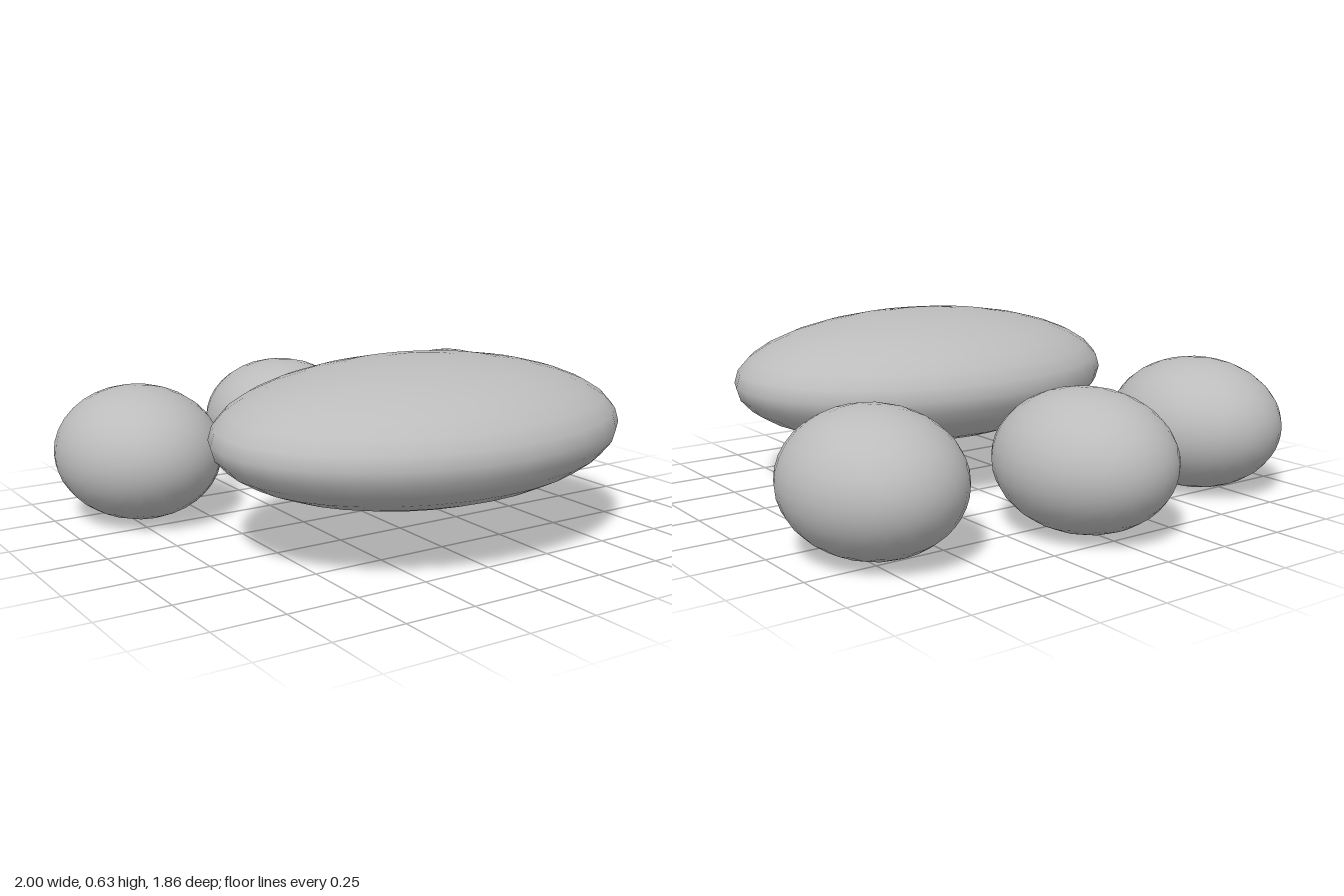
import * as THREE from 'three';

export function createModel() {
  const group = new THREE.Group();
  const grey = new THREE.MeshStandardMaterial({ color: 0xbcbcbc });
  grey.name = 'grey';

  // smooth ellipsoid; the toes have their poles along z
  function ellipsoid(name, radii, position, polesAlongZ) {
    const geometry = new THREE.SphereGeometry(1, 32, 16);
    if (polesAlongZ) geometry.rotateX(Math.PI / 2);
    geometry.scale(...radii);
    const mesh = new THREE.Mesh(geometry, grey);
    mesh.name = name;
    mesh.position.set(...position);
    group.add(mesh);
  }

  // wide flattened main pad
  ellipsoid('mainPad', [0.753, 0.24, 0.564], [0, 0.395, 0.361], false);

  // three toes fanned out behind it
  const toeRadii = [0.295, 0.242, 0.334];
  ellipsoid('middleToe', toeRadii, [0, 0.243, -0.597], true);
  for (const [name, side] of [['leftToe', 1], ['rightToe', -1]]) {
    ellipsoid(name, toeRadii, [side * 0.705, 0.243, -0.408], true);
  }

  return group;
}
